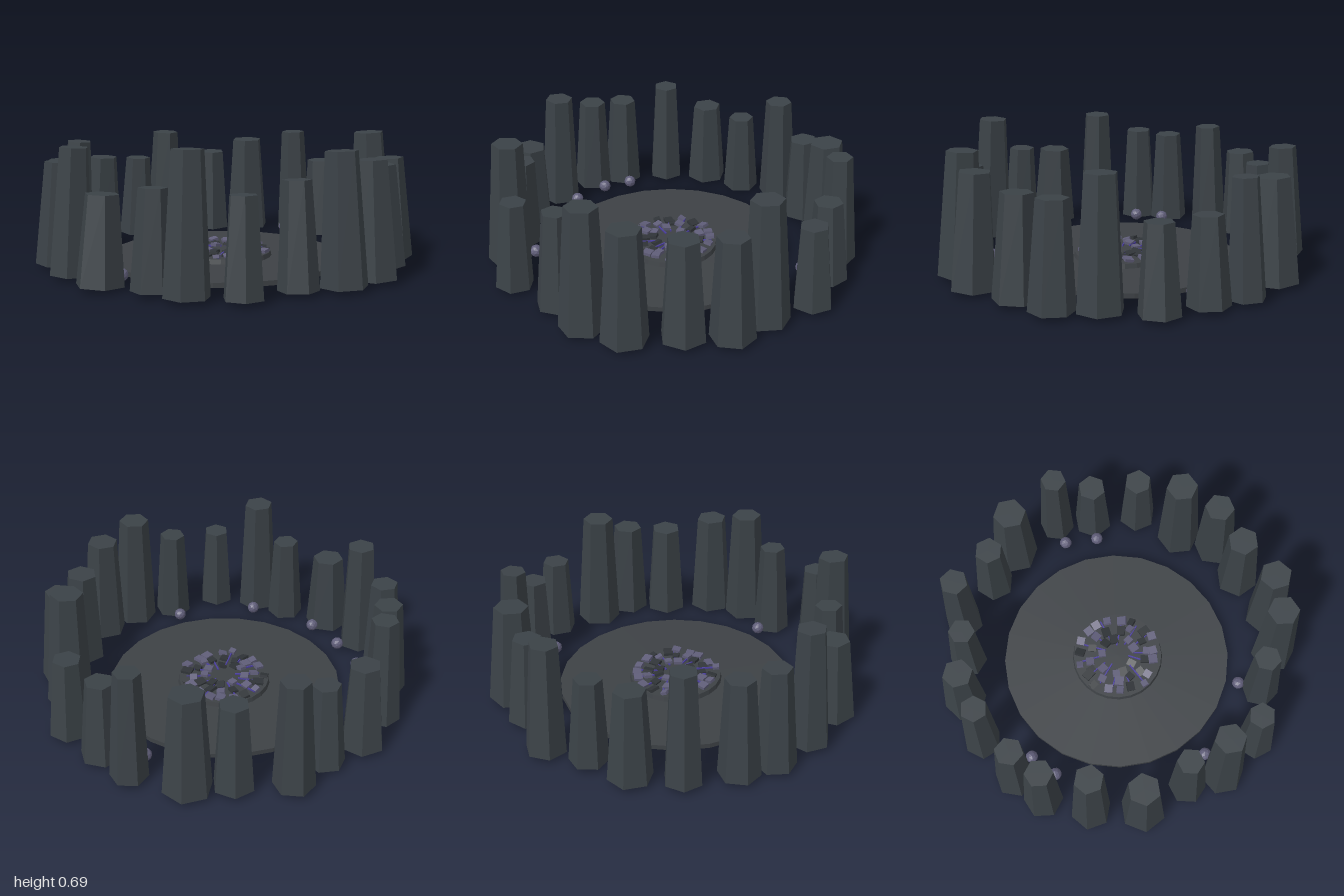
import * as THREE from 'three';

const mat = (name, color) => {
  const m = new THREE.MeshStandardMaterial({ color, flatShading: true });
  m.name = name;
  return m;
};

// Small seeded generator for the scattered rubble
function seeded(seed) {
  return () => {
    seed = (seed * 16807) % 2147483647;
    return seed / 2147483647;
  };
}

export function createModel() {
  const model = new THREE.Group();
  model.name = 'stoneCircle';
  const basalt = mat('basalt', 0x3b4247);
  const floorStone = mat('floorStone', 0x3d4145);
  const darkStone = mat('darkStone', 0x303438);
  const lavender = mat('lavenderStone', 0x5f5d78);
  const violet = mat('violetVein', 0x4b3f9e);

  const add = (parent, name, geometry, material, x, y, z) => {
    const mesh = new THREE.Mesh(geometry, material);
    mesh.name = name;
    mesh.position.set(x, y, z);
    parent.add(mesh);
    return mesh;
  };

  // Floor disc and the raised hearth plate at its centre
  add(model, 'floorDisc', new THREE.CylinderGeometry(0.625, 0.625, 0.025, 24), floorStone, -0.016, 0.0125, 0);
  add(model, 'hearthPlate', new THREE.CylinderGeometry(0.245, 0.25, 0.025, 24), floorStone, -0.01, 0.0375, 0);

  // Hexagonal columns: x, z, base radius, height of the top
  const columns = [
    [-0.11, -0.89, 0.097, 0.61], [0.10, -0.86, 0.108, 0.455], [0.36, -0.82, 0.106, 0.455],
    [0.55, -0.62, 0.12, 0.665], [0.73, -0.49, 0.115, 0.55], [0.79, -0.265, 0.118, 0.54],
    [0.875, 0.0, 0.121, 0.6], [0.83, 0.225, 0.118, 0.66], [0.69, 0.41, 0.1, 0.535],
    [0.565, 0.68, 0.1, 0.49], [0.335, 0.80, 0.114, 0.69], [0.135, 0.805, 0.1, 0.5],
    [-0.13, 0.86, 0.122, 0.455], [-0.395, 0.78, 0.108, 0.65], [-0.62, 0.65, 0.105, 0.55],
    [-0.735, 0.495, 0.107, 0.535], [-0.85, 0.25, 0.1, 0.605], [-0.885, 0.0, 0.114, 0.49],
    [-0.81, -0.23, 0.1, 0.47], [-0.78, -0.46, 0.106, 0.605], [-0.555, -0.64, 0.108, 0.485],
    [-0.39, -0.79, 0.127, 0.555],
  ];
  const circle = new THREE.Group();
  circle.name = 'columnCircle';
  model.add(circle);
  for (const [x, z, r, top] of columns) {
    const h = top - 0.018;
    const geometry = new THREE.CylinderGeometry(r * 0.69, r, h, 6).translate(0, h / 2, 0);
    const column = add(circle, 'column', geometry, basalt, x, 0.018, z);
    // Turn one corner outward and lean the top inward
    column.rotation.order = 'YXZ';
    column.rotation.y = Math.atan2(x, z);
    column.rotation.x = -0.05;
  }

  // Pebbles along the inner side of the columns
  const pebbles = [
    [-0.096, -0.754], [0.085, -0.727], [0.583, 0.347], [0.278, 0.674],
    [-0.112, 0.727], [-0.332, 0.652], [-0.524, 0.545], [-0.62, 0.417],
  ];
  pebbles.forEach(([x, z], i) => {
    const pebble = add(model, 'pebble', new THREE.IcosahedronGeometry(0.034, 1), lavender, x, 0.045, z);
    pebble.rotation.set(i, i * 2, 0);
  });

  // Hearth: tilted rubble and thin violet veins around the centre
  const hearth = new THREE.Group();
  hearth.name = 'hearthRubble';
  hearth.position.set(-0.01, 0.05, 0);
  model.add(hearth);
  const rand = seeded(4711);
  const rings = [[0.1, 9], [0.155, 14], [0.21, 19]];
  for (const [radius, count] of rings) {
    for (let i = 0; i < count; i++) {
      const a = ((i + 0.5 * rand()) / count) * Math.PI * 2;
      const r = radius + (rand() - 0.5) * 0.03;
      const s = 0.034 + rand() * 0.016;
      const pale = rand() < 0.6;
      const block = add(hearth, pale ? 'paleBlock' : 'darkBlock',
        new THREE.BoxGeometry(s, 0.016, s * (pale ? 1 : 1.2)), pale ? lavender : darkStone,
        Math.sin(a) * r, pale ? 0.012 : 0.006, Math.cos(a) * r);
      block.rotation.set((rand() - 0.5) * 0.5, a + (rand() - 0.5) * 0.6, (rand() - 0.5) * 0.5);
    }
  }
  for (let i = 0; i < 14; i++) {
    const a = ((i + 0.4 * rand()) / 14) * Math.PI * 2;
    const r = 0.12 + rand() * 0.04;
    const vein = add(hearth, 'vein', new THREE.BoxGeometry(0.007, 0.008, 0.13), violet,
      Math.sin(a) * r, 0.005, Math.cos(a) * r);
    vein.rotation.y = a + (rand() - 0.5) * 0.3;
  }
  return model;
}
